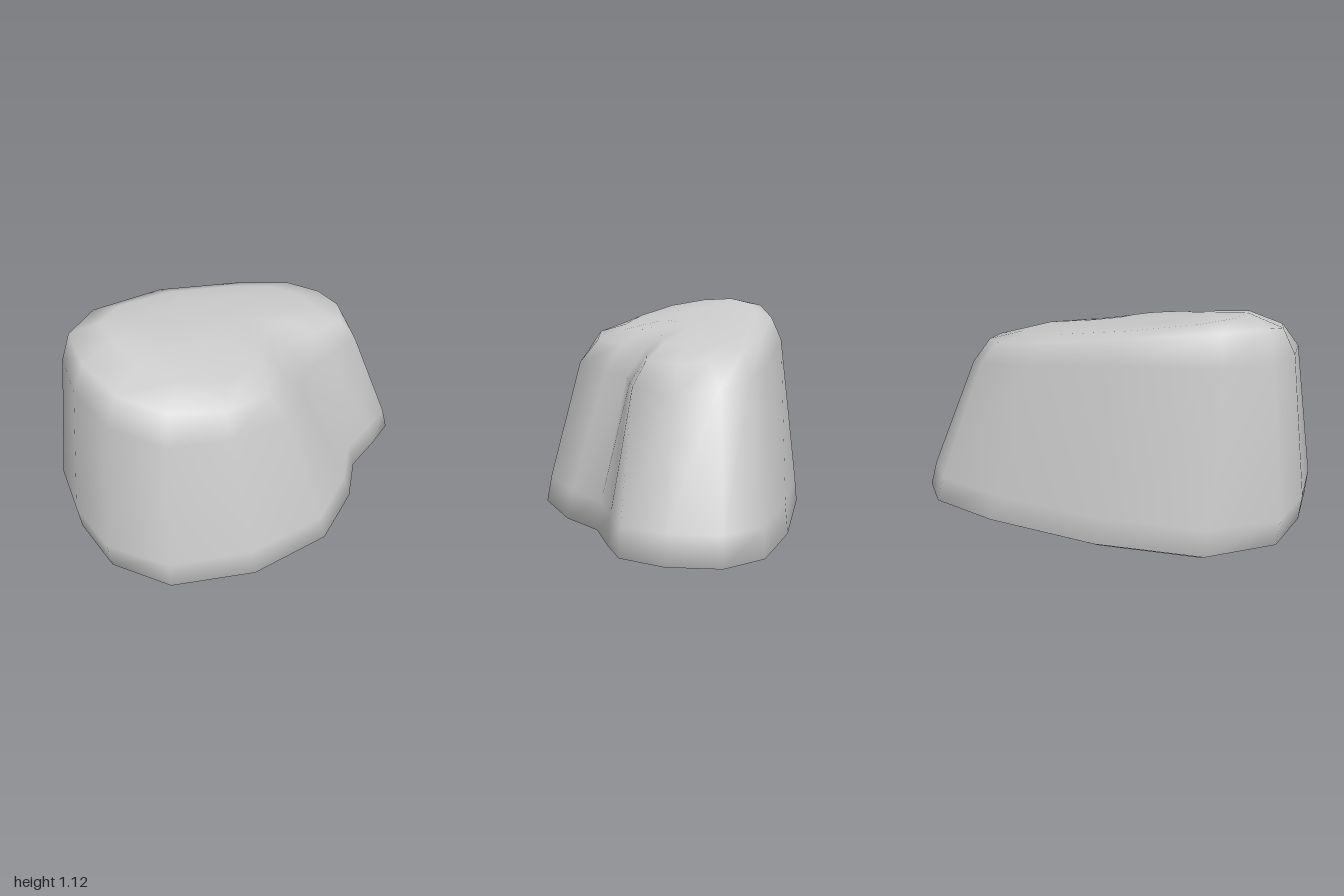
import * as THREE from 'three';

// Outlines running counter-clockwise seen from above: base [x, z], the others [x, y, z]
const BASE = [
  [-1, -0.25], [-1, 0.07], [-0.92, 0.4], [-0.68, 0.645], [-0.25, 0.725], [0.19, 0.635], [0.46, 0.4], [0.6, 0.18],
  [0.8, 0.05], [0.95, -0.06], [1, -0.29], [0.95, -0.54], [0.77, -0.69], [0.38, -0.73], [-0.22, -0.685], [-0.75, -0.535],
];
const SHOULDER = [
  [-0.915, 0.93, -0.21], [-0.92, 0.91, 0.05], [-0.84, 0.88, 0.33], [-0.62, 0.84, 0.53],
  [-0.3, 0.82, 0.575], [0.01, 0.79, 0.5], [0.19, 0.77, 0.28], [0.29, 0.76, 0.13],
  [0.47, 0.76, 0.05], [0.66, 0.77, -0.03], [0.72, 0.74, -0.25], [0.67, 0.77, -0.45],
  [0.52, 0.81, -0.565], [0.2, 0.85, -0.59], [-0.27, 0.92, -0.57], [-0.75, 0.94, -0.43],
];
const RIM = [
  [-0.87, 1.085, -0.19], [-0.86, 1.04, 0.03], [-0.77, 1.0, 0.27], [-0.57, 0.965, 0.45],
  [-0.3, 0.935, 0.495], [-0.06, 0.91, 0.42], [0.08, 0.905, 0.23], [0.18, 0.9, 0.06],
  [0.39, 0.885, -0.01], [0.58, 0.88, -0.07], [0.645, 0.88, -0.24], [0.6, 0.89, -0.39],
  [0.46, 0.915, -0.505], [0.17, 0.96, -0.54], [-0.3, 1.035, -0.51], [-0.7, 1.08, -0.37],
];
const CENTRE = [-0.15, -0.2];

// Crown slopes down to the right end and rolls off toward the front
const topY = (x, z) => 1.12 - 0.15 * (x + 0.7) - 0.35 * Math.max(0, z + 0.1) ** 2;
const mix = THREE.MathUtils.lerp;
const inset = (x, z, s) => [mix(CENTRE[0], x, s), mix(CENTRE[1], z, s)];

function rockGeometry() {
  const n = BASE.length;
  const underside = (i, s, y) => {
    const [x, z] = inset(...BASE[i], s);
    return [x, y, z];
  };
  const foot = (i) => {
    const x = mix(BASE[i][0], SHOULDER[i][0], 0.13);
    return [x < -0.9 ? x - 0.012 : x, 0.17, mix(BASE[i][1], SHOULDER[i][2], 0.13)];
  };
  // Blend the rim height into the sloping crown
  const top = (i, s, blend) => {
    const [x, z] = inset(RIM[i][0], RIM[i][2], s);
    return [x, mix(RIM[i][1], topY(x, z), blend), z];
  };
  // Cross-sections from the underside up to the crown
  const rings = [
    (i) => underside(i, 0.6, 0),
    (i) => underside(i, 0.91, 0.008),
    (i) => [BASE[i][0] * (BASE[i][0] < 0 ? 0.985 : 1), 0.035, BASE[i][1]],
    foot,
    (i) => SHOULDER[i],
    (i) => RIM[i],
    (i) => top(i, 0.77, 0.85),
    (i) => top(i, 0.4, 1),
  ];
  const pos = [], idx = [];
  for (const ring of rings) for (let i = 0; i < n; i++) pos.push(...ring(i));
  for (let r = 0; r < rings.length - 1; r++) {
    for (let i = 0; i < n; i++) {
      const a = r * n + i, b = r * n + (i + 1) % n;
      idx.push(a, b, b + n, a, b + n, a + n);
    }
  }
  // Close the underside and the crown
  const bottom = pos.length / 3, crown = bottom + 1, last = (rings.length - 1) * n;
  pos.push(CENTRE[0], 0, CENTRE[1], CENTRE[0], topY(...CENTRE), CENTRE[1]);
  for (let i = 0; i < n; i++) {
    const j = (i + 1) % n;
    idx.push(bottom, j, i, crown, last + i, last + j);
  }
  const geo = new THREE.BufferGeometry();
  geo.setAttribute('position', new THREE.Float32BufferAttribute(pos, 3));
  geo.setIndex(idx);
  geo.computeVertexNormals();
  return geo;
}

export function createModel() {
  const group = new THREE.Group();
  const rock = new THREE.Mesh(rockGeometry(), new THREE.MeshStandardMaterial({ color: 0xcccccc }));
  rock.name = 'rock';
  group.add(rock);
  return group;
}
